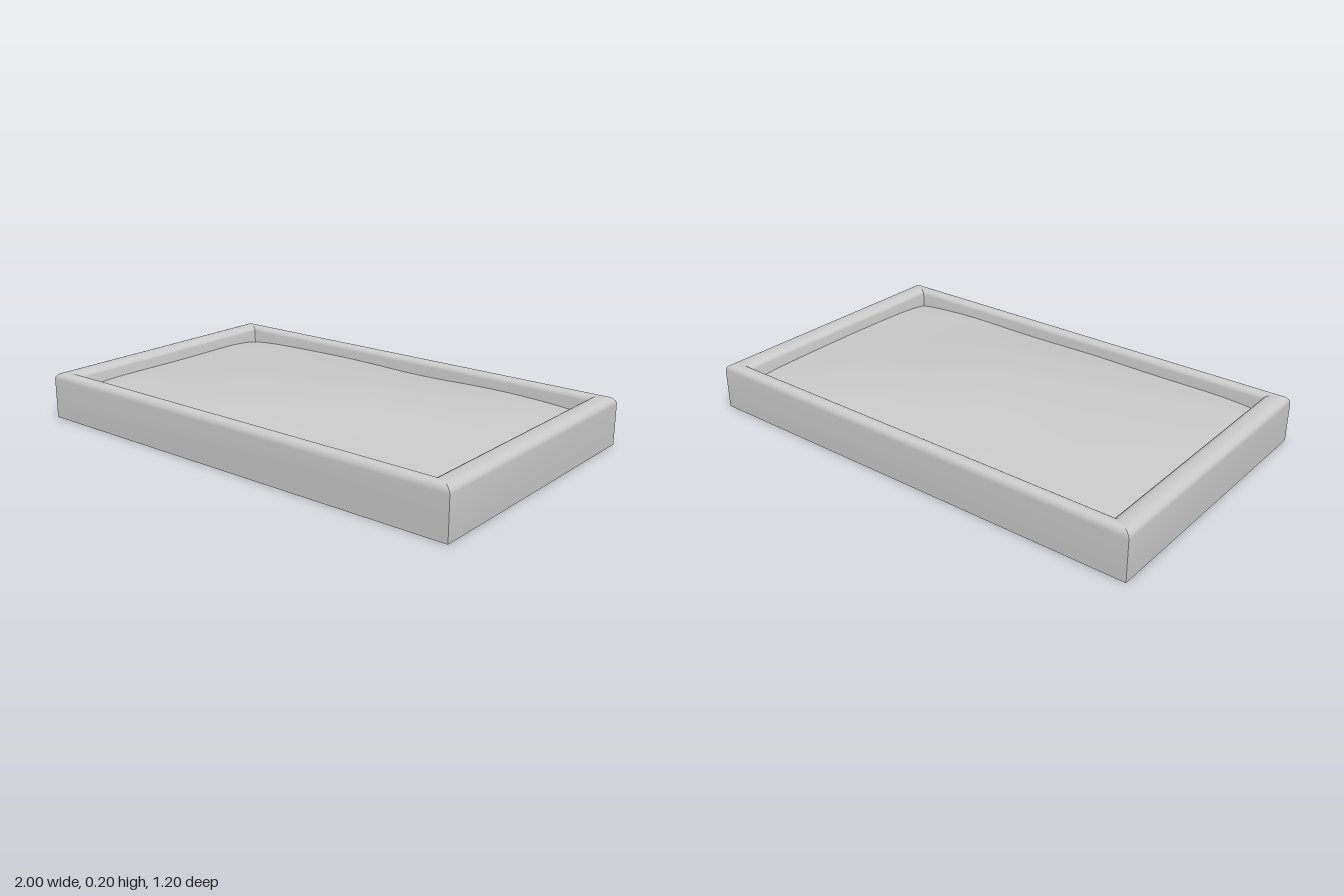
import * as THREE from 'three';
import { toCreasedNormals } from 'three/addons/utils/BufferGeometryUtils.js';

const HALF_X = 1, HALF_Z = 0.6;          // outer half sizes
const RAIL_X = 0.097, RAIL_Z = 0.058;    // rail widths at the ends and along the long sides
const INNER_X = HALF_X - RAIL_X, INNER_Z = HALF_Z - RAIL_Z;
const HEIGHT = 0.2;

// Rail cross-section: [u, y], u runs from the outer face (0) to the inner face (1)
function railProfile() {
  const points = [[0, 0]], ru = 0.42, ry = 0.03, steps = 6;
  for (let i = 0; i <= steps; i++) {
    const a = (i / steps) * Math.PI / 2;
    points.push([ru * (1 - Math.cos(a)), HEIGHT - ry * (1 - Math.sin(a))]);
  }
  for (let i = 0; i <= steps; i++) {
    const a = (i / steps) * Math.PI / 2;
    points.push([1 - ru * (1 - Math.sin(a)), HEIGHT - ry * (1 - Math.cos(a))]);
  }
  points.push([1, 0]);
  return points;
}

// One mitred rail lofted between two corners, given as signs of x and z
function railGeometry(cornerA, cornerB) {
  const profile = railProfile(), positions = [], index = [];
  for (const [u, y] of profile) {
    for (const [sx, sz] of [cornerA, cornerB]) {
      positions.push(sx * (HALF_X - RAIL_X * u), y, sz * (HALF_Z - RAIL_Z * u));
    }
  }
  for (let j = 0; j < profile.length - 1; j++) {
    const a = 2 * j;
    index.push(a, a + 1, a + 3, a, a + 3, a + 2);
  }
  const geometry = new THREE.BufferGeometry();
  geometry.setAttribute('position', new THREE.Float32BufferAttribute(positions, 3));
  geometry.setIndex(index);
  return toCreasedNormals(geometry, Math.PI / 4);
}

// Height of the domed, slightly uneven filling
function fillHeight(x, z) {
  const u = x / INNER_X, v = z / INNER_Z;
  const dome = 0.05 * (1 - u * u) * (1 - v * v);
  const waves = 0.003 * Math.sin(5.2 * x + 1.3) * Math.cos(4.1 * z - 0.6)
    + 0.002 * Math.sin(9 * x - 7 * z);
  const corner = 0.018 * Math.abs(u * v) ** 6;
  return 0.138 + dome + waves - corner;
}

export function createModel() {
  const group = new THREE.Group();
  const material = new THREE.MeshStandardMaterial({ color: 0xcccccc, side: THREE.DoubleSide });
  const add = (name, geometry) => {
    const mesh = new THREE.Mesh(geometry, material);
    mesh.name = name;
    group.add(mesh);
  };

  // Frame rails, counter-clockwise from the front
  const corners = [[-1, 1], [1, 1], [1, -1], [-1, -1]];
  ['frontRail', 'leftRail', 'backRail', 'rightRail'].forEach((name, i) => {
    add(name, railGeometry(corners[i], corners[(i + 1) % 4]));
  });

  // Underside panel
  add('base', new THREE.PlaneGeometry(2 * HALF_X, 2 * HALF_Z).rotateX(Math.PI / 2));

  // Uneven filling inside the frame
  const filling = new THREE.PlaneGeometry(2 * INNER_X, 2 * INNER_Z, 72, 44).rotateX(-Math.PI / 2);
  const p = filling.attributes.position;
  for (let i = 0; i < p.count; i++) p.setY(i, fillHeight(p.getX(i), p.getZ(i)));
  filling.computeVertexNormals();
  add('filling', filling);

  return group;
}
